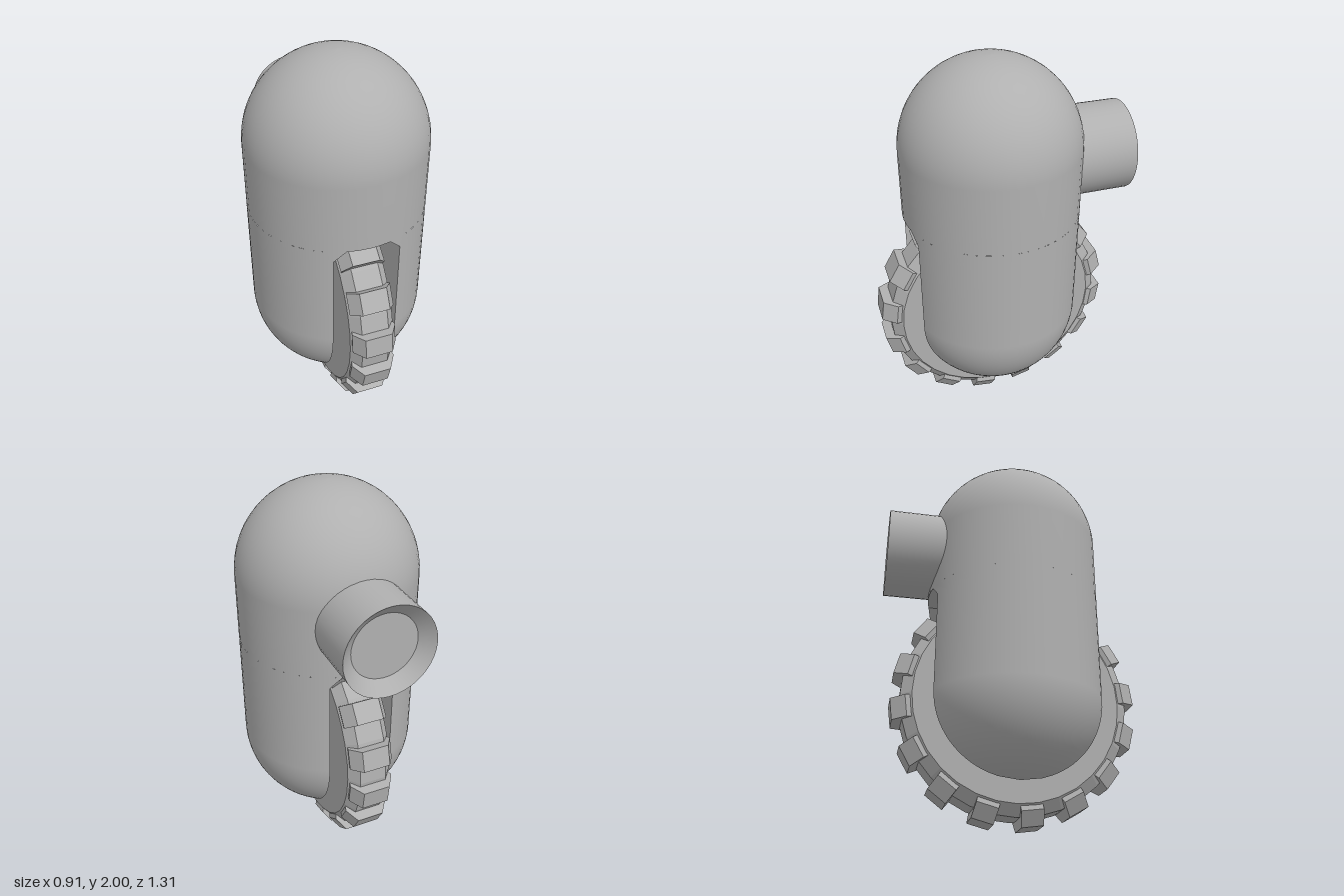
import * as THREE from 'three';
import { toCreasedNormals } from 'three/addons/utils/BufferGeometryUtils.js';

const R = 0.455;         // body radius
const CZ = 0.035;        // body and wheel centre in z
const TOP_Y = 1.545;     // centre of the upper dome
const HUB_Y = 0.625;     // centre of the lower dome and the wheel
const SLOT_TOP = 1.2;
const SLOT_HALF = 0.17;

// Surface through rows of points; smooth normals are optional
function loft(rows, normalAt) {
  const pos = [], nor = [], index = [], n = rows[0].length;
  rows.forEach((row, i) => row.forEach((p, j) => {
    pos.push(p.x, p.y, p.z);
    if (normalAt) nor.push(...normalAt(p).toArray());
    if (i && j) {
      const d = i * n + j, c = d - 1, b = d - n, a = b - 1;
      index.push(a, b, c, b, d, c);
    }
  }));
  let g = new THREE.BufferGeometry();
  g.setAttribute('position', new THREE.Float32BufferAttribute(pos, 3));
  g.setIndex(index);
  if (normalAt) {
    g.setAttribute('normal', new THREE.Float32BufferAttribute(nor, 3));
  } else {
    g = g.toNonIndexed();
    g.computeVertexNormals();
  }
  return g;
}

function lathe(points, segments) {
  return new THREE.LatheGeometry(points.map(([x, y]) => new THREE.Vector2(x, y)), segments);
}

export function createModel() {
  const model = new THREE.Group();
  const grey = new THREE.MeshStandardMaterial({ color: 0xb0b0b0 });
  const greyName = 'grey';
  grey.name = greyName;

  function add(name, geometry, parent = model) {
    const mesh = new THREE.Mesh(geometry, grey);
    mesh.name = name;
    parent.add(mesh);
    return mesh;
  }

  // Upper body: cylinder and dome above the wheel slot
  const profile = [[R, SLOT_TOP]];
  for (let i = 0; i <= 16; i++) {
    const a = i / 16 * Math.PI / 2;
    profile.push([i === 16 ? 0 : R * Math.cos(a), TOP_Y + R * Math.sin(a)]);
  }
  add('upperBody', lathe(profile, 48)).position.z = CZ;
  const ceiling = add('slotCeiling', new THREE.CircleGeometry(R, 48));
  ceiling.rotation.x = Math.PI / 2;
  ceiling.position.set(0, SLOT_TOP, CZ);

  // Lower body: two lobes either side of the slot, chamfered at its top
  const levels = [[SLOT_TOP, R, 0.11], [1.14, R, SLOT_HALF]];
  const endAngle = Math.acos(SLOT_HALF / R);
  for (let i = 0; i <= 16; i++) {
    const a = i / 16 * endAngle;
    levels.push([HUB_Y - R * Math.sin(a), R * Math.cos(a), SLOT_HALF]);
  }
  const bodyNormal = p => new THREE.Vector3(p.x, Math.min(0, p.y - HUB_Y), p.z - CZ).normalize();
  for (const side of [1, -1]) {
    const outer = [], inner = [];
    for (const [y, r, w] of levels) {
      const a = Math.acos(Math.min(1, w / r));
      const row = [];
      for (let j = 0; j <= 24; j++) {
        const t = side * a * (j / 12 - 1);
        row.push(new THREE.Vector3(side * r * Math.cos(t), y, CZ + r * Math.sin(t)));
      }
      outer.push(row);
      inner.push([row[24], row[0]]);
    }
    const lobe = new THREE.Group();
    lobe.name = side > 0 ? 'leftLobe' : 'rightLobe';
    model.add(lobe);
    add('lobeShell', loft(outer, bodyNormal), lobe);
    add('slotWall', loft(inner), lobe);
  }

  // Wheel with bevelled rim, on a thick axle
  const wheel = new THREE.Group();
  wheel.name = 'wheel';
  wheel.position.set(0, HUB_Y, CZ);
  model.add(wheel);
  const rim = lathe([[0, -0.115], [0.52, -0.115], [0.575, -0.07],
    [0.575, 0.07], [0.52, 0.115], [0, 0.115]], 32).toNonIndexed();
  rim.computeVertexNormals();
  add('rim', rim, wheel).rotation.z = Math.PI / 2;
  add('axle', new THREE.CylinderGeometry(0.225, 0.225, 0.36, 32), wheel).rotation.z = Math.PI / 2;

  // Tread blocks around the rim
  const block = new THREE.Shape([[-0.1, 0.5], [0.1, 0.5], [0.115, 0.55], [0.07, 0.62],
    [-0.07, 0.62], [-0.115, 0.55]].map(([x, y]) => new THREE.Vector2(x, y)));
  const blockGeometry = new THREE.ExtrudeGeometry(block, { depth: 0.11, bevelEnabled: false });
  blockGeometry.translate(0, 0, -0.055);
  for (let i = 0; i < 16; i++) {
    add('treadBlock', blockGeometry, wheel).rotation.x = THREE.MathUtils.degToRad(82.5 - i * 22.5);
  }

  // Rear pipe with a conical recess
  const pipe = add('rearPipe', toCreasedNormals(
    lathe([[0.23, 0.2], [0.23, 0.655], [0.165, 0.595], [0, 0.595]], 40), 0.5));
  pipe.rotation.x = -Math.PI / 2;
  pipe.position.y = 1.45;

  return model;
}
